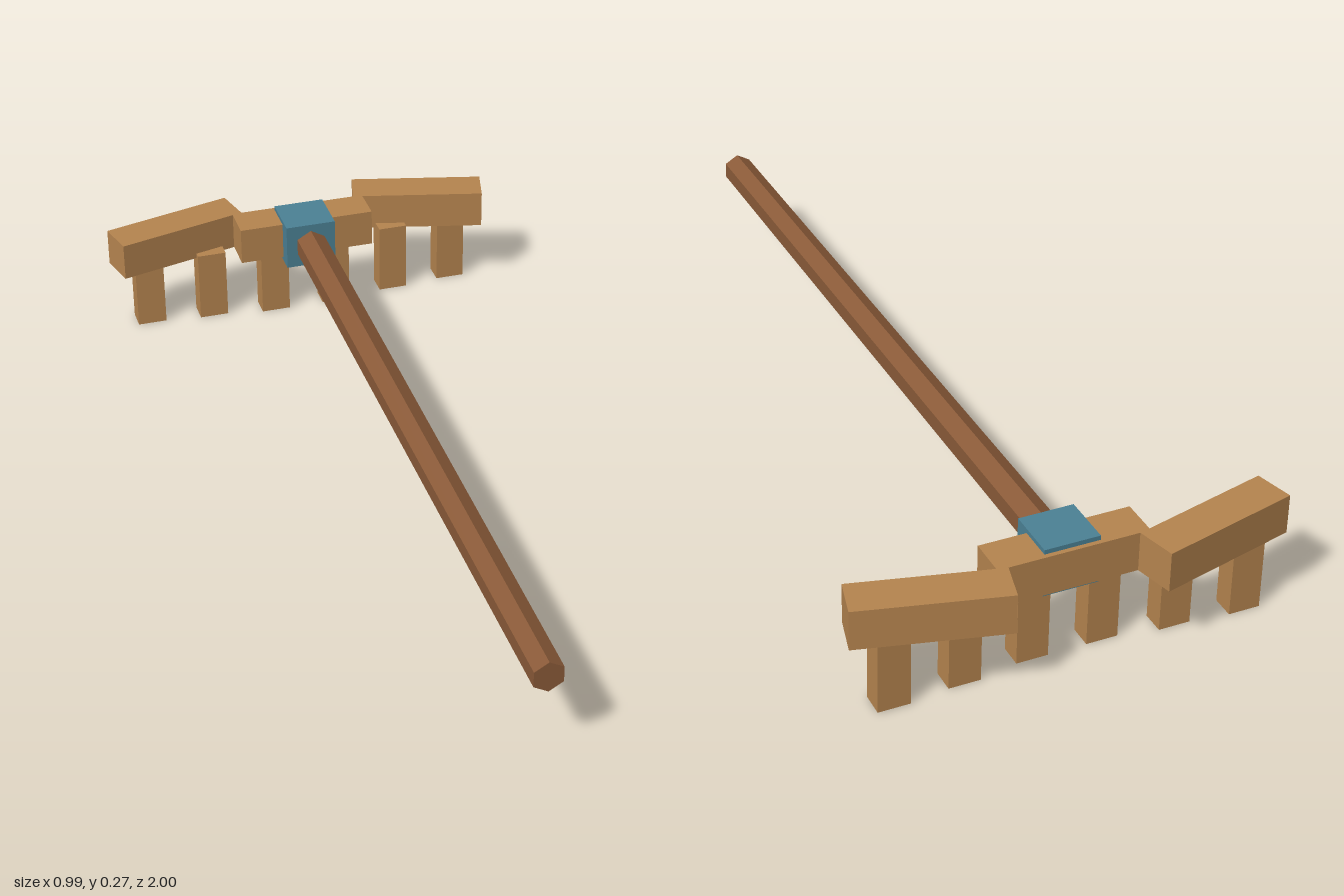
import * as THREE from 'three';

export function createModel() {
  const model = new THREE.Group();
  model.name = 'woodenRake';

  const material = (name, color) => {
    const m = new THREE.MeshStandardMaterial({ color });
    m.name = name;
    return m;
  };
  const lightWood = material('lightWood', 0xb5844f);
  const darkWood = material('darkWood', 0x8a5a38);
  const bluePaint = material('bluePaint', 0x4b8195);

  const add = (name, geometry, mat, x, y, z) => {
    const mesh = new THREE.Mesh(geometry, mat);
    mesh.name = name;
    mesh.position.set(x, y, z);
    model.add(mesh);
    return mesh;
  };

  // Handle: tapered hexagonal pole along z, ending inside the socket
  const pole = new THREE.CylinderGeometry(0.037, 0.041, 1.86, 6).toNonIndexed();
  pole.rotateX(Math.PI / 2);
  // corners point straight up and down
  pole.computeVertexNormals();
  add('handle', pole, darkWood, 0, 0.213, 0.07);

  // Socket joining handle and head
  add('socket', new THREE.BoxGeometry(0.126, 0.114, 0.12), bluePaint, 0, 0.214, -0.84);

  // Head: straight middle bar with two angled wings
  const barY = 0.214, barHeight = 0.093;
  add('middleBar', new THREE.BoxGeometry(0.343, barHeight, 0.091), lightWood, 0, barY, -0.865);

  // Teeth distances from the centre and their depth positions
  const teeth = [[0.08, -0.87], [0.24, -0.888], [0.4, -0.9]];
  for (const [side, s] of [['left', 1], ['right', -1]]) {
    const wing = add(side + 'Wing', new THREE.BoxGeometry(0.333, barHeight, 0.092),
      lightWood, s * 0.32, barY, -0.914);
    wing.rotation.y = -s * 0.25;

    teeth.forEach(([x, z], i) => {
      add(side + 'Tooth' + (i + 1), new THREE.BoxGeometry(0.072, 0.18, 0.053),
        lightWood, s * x, 0.09, z);
    });
  }
  return model;
}
